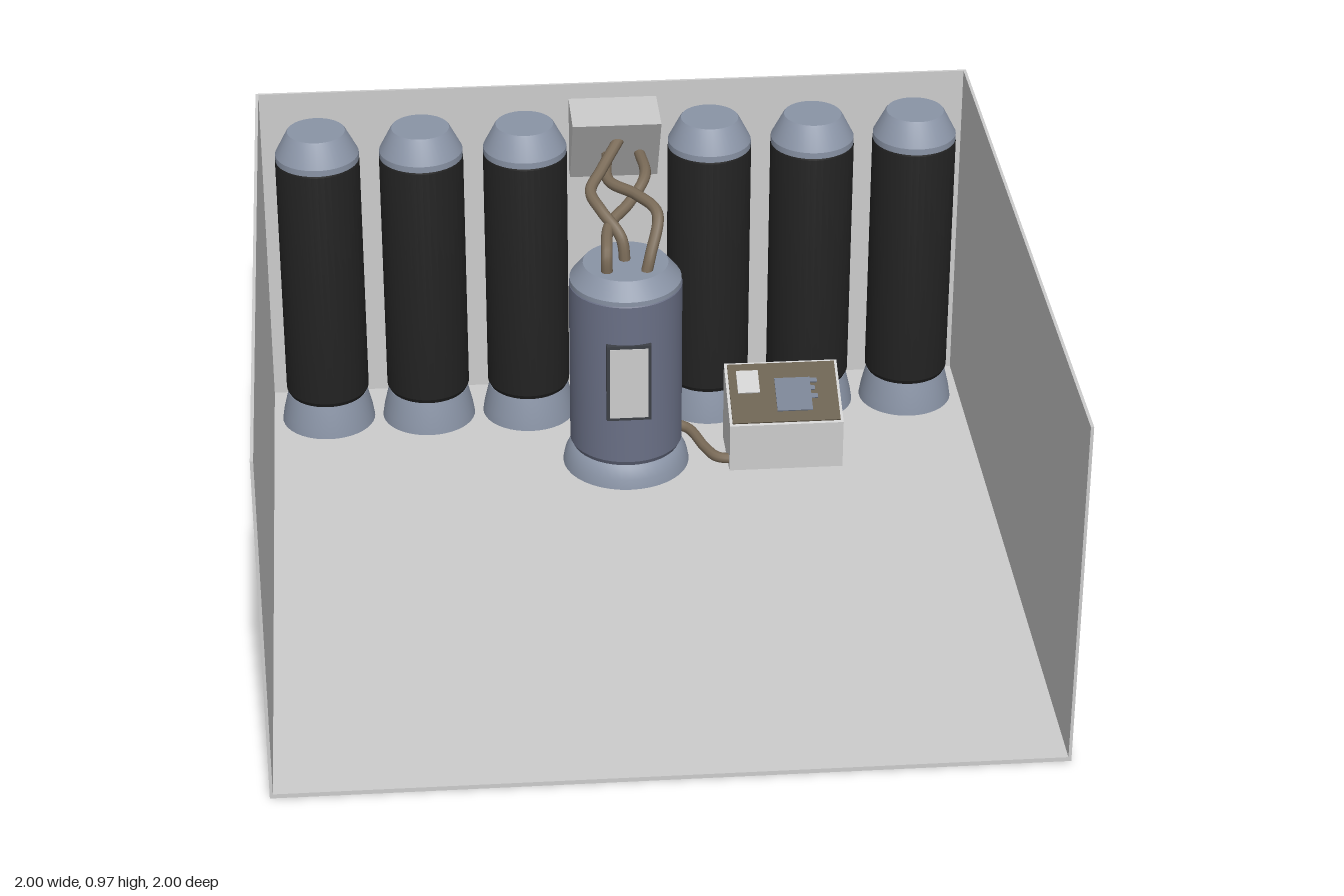
import * as THREE from 'three';
import { toCreasedNormals } from 'three/addons/utils/BufferGeometryUtils.js';

const mat = (name, color, side = THREE.FrontSide) => {
  const m = new THREE.MeshStandardMaterial({ color, side });
  m.name = name;
  return m;
};

export function createModel() {
  const root = new THREE.Group();
  root.name = 'machineRoom';
  const white = mat('wall grey', 0xcccccc);
  const whiteDouble = white;
  const black = mat('tank black', 0x222222);
  const steel = mat('cap steel', 0x8a94a6);
  const slate = mat('reactor slate', 0x6a7086);
  const frameDark = mat('frame dark', 0x3c3f46);
  const brown = mat('console brown', 0x665c4a);
  const hose = mat('hose brown', 0x7a6b58);
  const screen = mat('screen blue', 0x747d8e);

  const add = (parent, name, geo, m, x = 0, y = 0, z = 0) => {
    const mesh = new THREE.Mesh(geo, m);
    mesh.name = name;
    mesh.position.set(x, y, z);
    parent.add(mesh);
    return mesh;
  };
  const box = (parent, name, m, w, h, d, x, y, z) =>
    add(parent, name, new THREE.BoxGeometry(w, h, d), m, x, y, z);
  const lathe = (parent, name, m, pts) =>
    add(parent, name, toCreasedNormals(
      new THREE.LatheGeometry(pts.map(p => new THREE.Vector2(...p)), 40), 0.35), m);
  // Side profile given as [z, y] points, extruded along x from x0 to x1
  const profileX = (parent, name, m, pts, x0, x1) => {
    const shape = new THREE.Shape(pts.map(([z, y]) => new THREE.Vector2(-z, y)));
    const geo = new THREE.ExtrudeGeometry(shape, { depth: x1 - x0, bevelEnabled: false });
    geo.rotateY(Math.PI / 2);
    return add(parent, name, geo, m, x0, 0, 0);
  };

  // Floor and the three walls, the back one with a square opening
  const H = 0.97, T = 0.008;
  box(root, 'floor', white, 2, 0.012, 2, 0, 0.006, 0);
  for (const s of [-1, 1])
    box(root, s > 0 ? 'leftWall' : 'rightWall', white, T, H, 2, s * (1 - T / 2), H / 2, 0);
  const rect = (C, x0, y0, x1, y1) => {
    const p = new C();
    p.moveTo(x0, y0); p.lineTo(x1, y0); p.lineTo(x1, y1); p.lineTo(x0, y1); p.closePath();
    return p;
  };
  const wall = rect(THREE.Shape, -1, 0, 1, H);
  wall.holes.push(rect(THREE.Path, -0.115, 0.71, 0.11, 0.92));
  add(root, 'backWall', new THREE.ExtrudeGeometry(wall, { depth: T, bevelEnabled: false }), white, 0, 0, -1);

  // Hollow hose duct: sloped front, open to the back
  const duct = new THREE.Group();
  duct.name = 'hoseDuct';
  root.add(duct);
  const outer = [[-0.995, 0.70], [-0.95, 0.70], [-0.81, 0.925], [-0.995, 0.925]];
  profileX(duct, 'ductShell', whiteDouble, [
    ...outer, [-0.995, 0.917], [-0.824, 0.917], [-0.954, 0.708], [-0.995, 0.708]], -0.125, 0.12);
  profileX(duct, 'ductRightSide', white, outer, -0.126, -0.118);
  profileX(duct, 'ductLeftSide', white, outer, 0.113, 0.121);

  // Row of six tall tanks
  for (const x of [-0.835, -0.547, -0.258, 0.258, 0.547, 0.835]) {
    const tank = new THREE.Group();
    tank.name = 'storageTank';
    tank.position.set(x, 0, -0.845);
    lathe(tank, 'tankBase', steel, [[0.133, 0.008], [0.128, 0.04], [0.116, 0.09], [0.112, 0.105], [0, 0.105]]);
    lathe(tank, 'tankBody', black, [[0, 0.1], [0.108, 0.1], [0.117, 0.118], [0.117, 0.835], [0.113, 0.846], [0, 0.846]]);
    lathe(tank, 'tankCap', steel, [[0, 0.84], [0.116, 0.84], [0.116, 0.858], [0.084, 0.92], [0.08, 0.925], [0, 0.925]]);
    root.add(tank);
  }

  // Central reactor vessel with a framed window
  const reactor = new THREE.Group();
  reactor.name = 'reactor';
  reactor.position.z = -0.545;
  root.add(reactor);
  lathe(reactor, 'reactorBase', steel, [[0.178, 0.008], [0.172, 0.04], [0.158, 0.068], [0.15, 0.076], [0, 0.076]]);
  lathe(reactor, 'reactorBody', slate, [[0, 0.072], [0.148, 0.072], [0.157, 0.09], [0.157, 0.578], [0.15, 0.588], [0, 0.588]]);
  lathe(reactor, 'reactorCap', steel, [[0, 0.58], [0.155, 0.58], [0.155, 0.594], [0.122, 0.635], [0.118, 0.64], [0, 0.64]]);
  box(reactor, 'windowFrame', frameDark, 0.124, 0.234, 0.024, -0.003, 0.345, 0.15);
  box(reactor, 'windowPane', white, 0.106, 0.216, 0.006, -0.003, 0.345, 0.161);

  // Hoses
  const tube = (name, r, pts) => add(root, name, new THREE.TubeGeometry(
    new THREE.CatmullRomCurve3(pts.map(p => new THREE.Vector3(...p))), 48, r, 10), hose);
  tube('hoseRight', 0.016, [[-0.055, 0.62, -0.49], [-0.055, 0.69, -0.495], [-0.04, 0.725, -0.6],
    [0.02, 0.75, -0.68], [0.07, 0.79, -0.76], [0.065, 0.8, -0.9]]);
  tube('hoseMiddle', 0.016, [[0, 0.62, -0.555], [-0.01, 0.70, -0.57], [-0.06, 0.755, -0.63],
    [-0.085, 0.78, -0.7], [-0.05, 0.81, -0.77], [0.01, 0.86, -0.87]]);
  tube('hoseLeft', 0.016, [[0.05, 0.62, -0.485], [0.065, 0.68, -0.5], [0.09, 0.77, -0.57],
    [0.04, 0.785, -0.66], [-0.03, 0.785, -0.75], [-0.025, 0.8, -0.9]]);
  tube('floorHose', 0.015, [[0.09, 0.04, -0.645], [0.14, 0.04, -0.675], [0.185, 0.035, -0.655],
    [0.225, 0.032, -0.55], [0.255, 0.032, -0.495], [0.31, 0.035, -0.475]]);

  // Control console with a sloped panel
  const consoleGroup = new THREE.Group();
  consoleGroup.name = 'console';
  root.add(consoleGroup);
  profileX(consoleGroup, 'consoleBody', white,
    [[-0.64, 0.008], [-0.45, 0.008], [-0.45, 0.155], [-0.64, 0.25]], 0.285, 0.605);
  const panel = new THREE.Group();
  panel.name = 'consolePanel';
  panel.position.set(0.445, 0.2025, -0.545);
  panel.rotation.x = Math.atan2(0.095, 0.19);
  consoleGroup.add(panel);
  box(panel, 'panelPlate', brown, 0.304, 0.005, 0.198, 0, 0.002, 0);
  box(panel, 'paperNote', white, 0.062, 0.005, 0.075, -0.098, 0.006, -0.037);
  box(panel, 'screenPlate', screen, 0.1, 0.005, 0.11, 0.027, 0.006, 0.01);
  for (const [z, w] of [[-0.035, 0.02], [-0.01, 0.012], [0.018, 0.018]])
    box(panel, 'screenTab', screen, w, 0.005, 0.014, 0.077 + w / 2, 0.006, z);

  return root;
}
